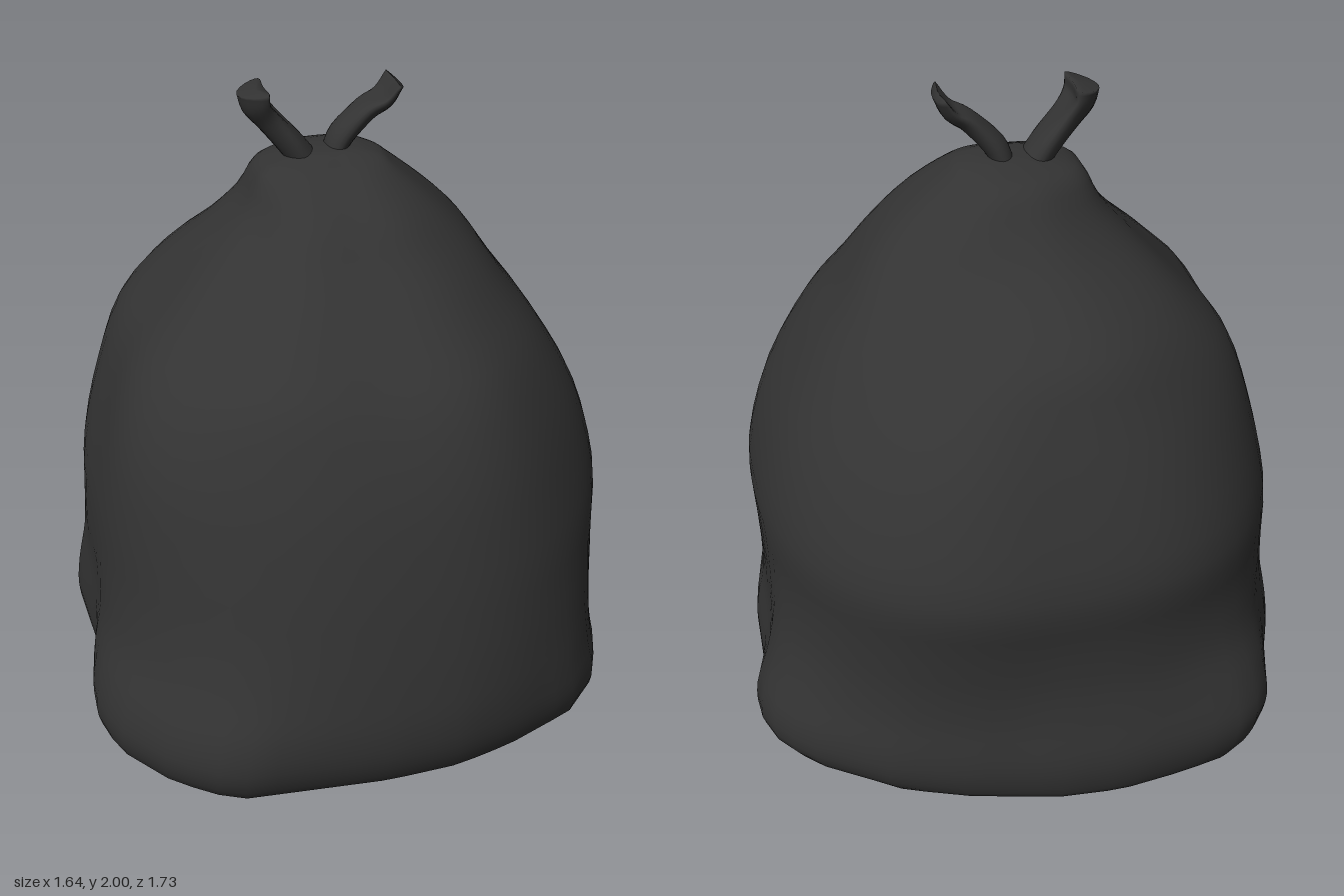
import * as THREE from 'three';

// Closed skin through a stack of rings, with a centre point at each end
function loft(rings, first, last) {
  const n = rings[0].length, pos = [], idx = [];
  rings.flat().forEach(p => pos.push(p.x, p.y, p.z));
  const c0 = rings.length * n, c1 = c0 + 1, top = c0 - n;
  pos.push(first.x, first.y, first.z, last.x, last.y, last.z);
  for (let j = 0; j < n; j++) {
    const k = (j + 1) % n;
    for (let i = 0; i < rings.length - 1; i++) {
      const a = i * n + j, b = i * n + k;
      idx.push(a, a + n, b, b, a + n, b + n);
    }
    idx.push(c0, j, k, c1, top + k, top + j);
  }
  const g = new THREE.BufferGeometry();
  g.setAttribute('position', new THREE.Float32BufferAttribute(pos, 3));
  g.setIndex(idx);
  g.computeVertexNormals();
  return g;
}

// Slumped outline of the bag near the floor, as x, z
const FOOT = [
  [0.78, 0.1], [0.73, 0.4], [0.67, 0.57], [0.55, 0.7], [0.33, 0.8], [0.16, 0.85], [-0.05, 0.865],
  [-0.49, 0.84], [-0.65, 0.72], [-0.77, 0.56], [-0.82, 0.43], [-0.82, 0.28], [-0.78, 0.1],
  [-0.81, -0.24], [-0.77, -0.4], [-0.7, -0.56], [-0.67, -0.69], [-0.58, -0.8], [-0.4, -0.84],
  [-0.19, -0.87], [0, -0.86], [0.27, -0.8], [0.47, -0.73], [0.7, -0.58], [0.8, -0.45],
  [0.82, -0.33], [0.78, -0.18],
];

// Levels: y, x min, x max, z min, z max, share of the slumped outline
const LEVELS = [
  [0.004, -0.08, 0.1, -0.1, 0.08, 0],
  [0.016, -0.18, 0.2, -0.2, 0.17, 0.2],
  [0.045, -0.28, 0.32, -0.34, 0.28, 0.5],
  [0.085, -0.4, 0.47, -0.6, 0.4, 0.9],
  [0.135, -0.72, 0.71, -0.81, 0.6, 1],
  [0.2, -0.8, 0.81, -0.855, 0.79, 1],
  [0.3, -0.825, 0.815, -0.865, 0.855, 1],
  [0.42, -0.815, 0.78, -0.845, 0.87, 0.8],
  [0.55, -0.79, 0.76, -0.83, 0.855, 0.4],
  [0.7, -0.78, 0.755, -0.835, 0.83, 0.1],
  [0.88, -0.765, 0.755, -0.85, 0.795, 0],
  [1.1, -0.71, 0.69, -0.77, 0.735, 0],
  [1.3, -0.635, 0.575, -0.67, 0.635, 0],
  [1.44, -0.51, 0.47, -0.59, 0.49, 0],
  [1.58, -0.37, 0.37, -0.39, 0.345, 0],
  [1.68, -0.28, 0.27, -0.29, 0.26, 0],
  [1.77, -0.23, 0.16, -0.22, 0.14, 0],
  [1.8, -0.16, 0.12, -0.15, 0.07, 0],
  [1.815, -0.09, 0.06, -0.09, 0.03, 0],
];

// Broad dents and bulges: angle in degrees, y, angular spread, height spread, amount
const DENTS = [
  [-62, 1.5, 24, 0.16, -0.13],
  [115, 1.45, 22, 0.15, 0.06],
  [45, 1.0, 30, 0.35, -0.03],
  [150, 1.15, 22, 0.2, 0.03],
  [150, 1.65, 20, 0.1, -0.08],
];

function dentAt(a, y) {
  return DENTS.reduce((sum, [deg, cy, spread, tall, amount]) => {
    const d = a - THREE.MathUtils.degToRad(deg);
    const turn = Math.atan2(Math.sin(d), Math.cos(d)) / THREE.MathUtils.degToRad(spread);
    return sum + amount * Math.exp(-(turn ** 2) - ((y - cy) / tall) ** 2);
  }, 0);
}

function bagGeometry() {
  const N = 72, STEPS = (LEVELS.length - 1) * 3;
  const curve = f => new THREE.CatmullRomCurve3(LEVELS.map(f), false, 'catmullrom', 0.5);
  const xs = curve(l => new THREE.Vector3(l[1], l[2], l[0]));
  const zs = curve(l => new THREE.Vector3(l[3], l[4], l[5]));
  const foot = FOOT.map(([x, z]) => new THREE.Vector2(x / 0.82, z / 0.867));
  // Distance from the centre to the slumped outline along a direction
  const footRadius = (c, s) => {
    for (let i = 0; i < foot.length; i++) {
      const a = foot[i], b = foot[(i + 1) % foot.length];
      const sa = c * a.y - s * a.x, sb = c * b.y - s * b.x;
      if (sa <= 0 && sb > 0) {
        const t = sa / (sa - sb);
        const r = (a.x + (b.x - a.x) * t) * c + (a.y + (b.y - a.y) * t) * s;
        if (r > 0) return r;
      }
    }
    return 1;
  };
  const rings = [];
  for (let i = 0; i <= STEPS; i++) {
    const X = xs.getPoint(i / STEPS), Z = zs.getPoint(i / STEPS), y = X.z;
    const w = THREE.MathUtils.clamp(Z.z, 0, 1);
    const fold = 0.013 * THREE.MathUtils.smoothstep(y, 0.4, 1.5);
    const ring = [];
    for (let j = 0; j < N; j++) {
      const a = j / N * Math.PI * 2, c = Math.cos(a), s = Math.sin(a);
      const round = Math.pow(Math.abs(c) ** 2.4 + Math.abs(s) ** 2.4, -1 / 2.4);
      // Soft creases that gather towards the knot
      const ripple = fold * (Math.sin(5 * a + 1.4 * y) + 0.7 * Math.sin(8 * a - 2 * y + 1));
      const r = THREE.MathUtils.lerp(round, footRadius(c, s), w) * (1 + ripple + dentAt(a, y));
      ring.push(new THREE.Vector3(
        r * c * (c > 0 ? X.y : -X.x), y, r * s * (s > 0 ? Z.y : -Z.x)));
    }
    rings.push(ring);
  }
  return loft(rings, new THREE.Vector3(0, 0, 0), new THREE.Vector3(-0.02, 1.82, -0.03));
}

// Flattened, flaring strip; stations: x, y, z, half thickness, half width, cupping
function tieGeometry(stations) {
  const N = 20, STEPS = 16;
  const path = new THREE.CatmullRomCurve3(
    stations.map(s => new THREE.Vector3(s[0], s[1], s[2])), false, 'catmullrom', 0.5);
  const size = new THREE.CatmullRomCurve3(
    stations.map(s => new THREE.Vector3(s[3], s[4], s[5])), false, 'catmullrom', 0.5);
  const rings = [];
  for (let i = 0; i <= STEPS; i++) {
    const p = path.getPoint(i / STEPS), d = size.getPoint(i / STEPS);
    const t = path.getTangent(i / STEPS).setZ(0).normalize();
    const ring = [];
    for (let j = 0; j < N; j++) {
      const a = j / N * Math.PI * 2, s = Math.sin(a);
      const u = Math.cos(a) * d.x + d.z * (s * s - 0.5);
      ring.push(new THREE.Vector3(p.x + t.y * u, p.y - t.x * u, p.z + s * d.y));
    }
    rings.push(ring);
  }
  return loft(rings, path.getPoint(0), path.getPoint(1));
}

export function createModel() {
  const plastic = new THREE.MeshStandardMaterial({ color: 0x333333 });
  plastic.name = 'dark plastic';
  const model = new THREE.Group();
  model.name = 'tiedBag';
  const add = (name, geometry) => {
    const mesh = new THREE.Mesh(geometry, plastic);
    mesh.name = name;
    model.add(mesh);
  };
  add('bagBody', bagGeometry());
  // Two loose ends of the knot
  add('rightTie', tieGeometry([
    [-0.09, 1.78, -0.03, 0.04, 0.065, 0],
    [-0.13, 1.84, -0.03, 0.038, 0.067, 0.01],
    [-0.185, 1.91, -0.03, 0.034, 0.065, 0.02],
    [-0.218, 1.955, -0.025, 0.034, 0.077, 0.03],
    [-0.226, 1.994, -0.02, 0.038, 0.083, 0.03],
  ]));
  add('leftTie', tieGeometry([
    [-0.01, 1.78, -0.04, 0.03, 0.055, 0],
    [0.02, 1.845, -0.035, 0.034, 0.058, 0],
    [0.085, 1.915, -0.025, 0.028, 0.06, -0.01],
    [0.135, 1.945, -0.02, 0.02, 0.07, -0.015],
    [0.168, 1.993, -0.015, 0.011, 0.08, -0.015],
  ]));
  return model;
}
